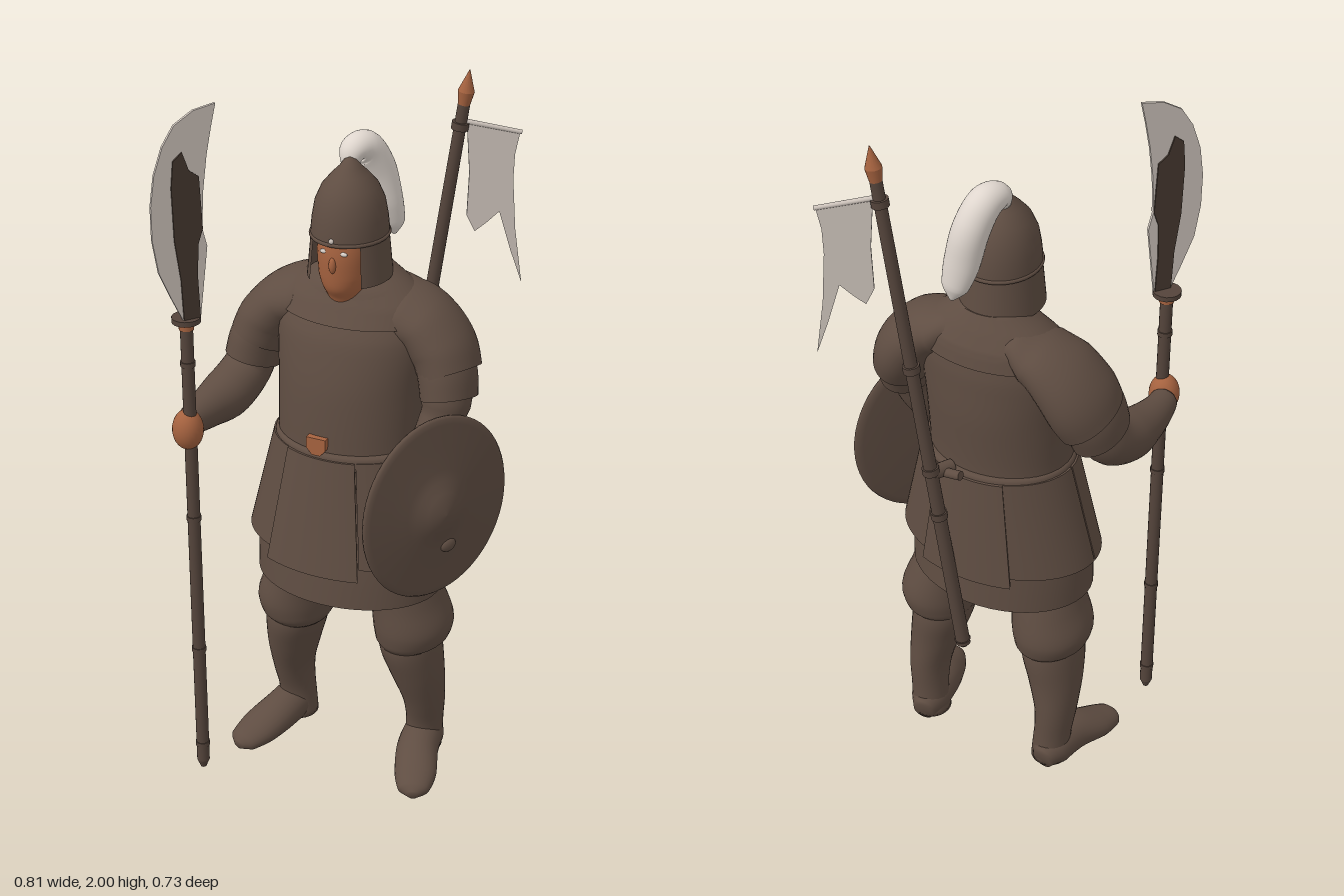
import * as THREE from 'three';
import { toCreasedNormals } from 'three/addons/utils/BufferGeometryUtils.js';

const mat = (name, color) => Object.assign(new THREE.MeshStandardMaterial({ color }), { name });
const V = (x, y, z) => new THREE.Vector3(x, y, z);

export function createModel() {
  const armour = mat('brown armour', 0x5f4d42);
  const wood = mat('dark wood', 0x54443b);
  const darkSteel = mat('dark blade core', 0x45382f);
  const skin = mat('copper skin', 0xa5623f);
  const pale = mat('pale steel', 0xccc2ba);
  const feather = mat('feather', 0xdfd6ce);
  const model = new THREE.Group();

  const add = (name, geo, material, parent = model) => {
    const m = new THREE.Mesh(geo, material);
    m.name = name;
    parent.add(m);
    return m;
  };

  // Closed body through elliptical sections [x, y, z, ru, rv]
  function loft(rows, { flat = false, steps = 5, n = 32, crease = 0 } = {}) {
    const mid = new THREE.CatmullRomCurve3(rows.map(r => V(r[0], r[1], r[2])));
    const rad = new THREE.CatmullRomCurve3(rows.map(r => V(r[3], r[4] ?? r[3], 0)));
    const count = (rows.length - 1) * steps;
    const pos = [], idx = [];
    for (let i = 0; i <= count; i++) {
      const t = i / count, c = mid.getPoint(t), r = rad.getPoint(t);
      const T = flat ? V(0, 1, 0) : mid.getTangent(t);
      const U = V(1, 0, 0).addScaledVector(T, -T.x).normalize();
      const W = T.clone().cross(U);
      for (let j = 0; j < n; j++) {
        const a = j / n * Math.PI * 2;
        const p = c.clone().addScaledVector(U, Math.cos(a) * r.x).addScaledVector(W, Math.sin(a) * r.y);
        pos.push(p.x, Math.max(0, p.y), p.z);
        if (i < count) {
          const k = (j + 1) % n, A = i * n + j, B = i * n + k;
          idx.push(A, B, B + n, A, B + n, A + n);
        }
      }
    }
    const first = rows[0], last = rows[rows.length - 1], s = pos.length / 3;
    pos.push(first[0], first[1], first[2], last[0], last[1], last[2]);
    for (let j = 0; j < n; j++) {
      const k = (j + 1) % n;
      idx.push(s, k, j, s + 1, count * n + j, count * n + k);
    }
    const g = new THREE.BufferGeometry();
    g.setAttribute('position', new THREE.Float32BufferAttribute(pos, 3));
    g.setIndex(idx);
    g.computeVertexNormals();
    return crease ? toCreasedNormals(g, crease) : g;
  }

  const rod = (name, a, b, r0, r1, material) => {
    const m = add(name, new THREE.CylinderGeometry(r1, r0, a.distanceTo(b), 16), material);
    m.position.copy(a).lerp(b, 0.5);
    m.quaternion.setFromUnitVectors(V(0, 1, 0), b.clone().sub(a).normalize());
  };
  const ball = (name, x, y, z, rx, ry, rz, material, parent) => {
    const m = add(name, new THREE.SphereGeometry(1, 24, 16), material, parent);
    m.position.set(x, y, z);
    m.scale.set(rx, ry, rz);
  };
  const lathe = (pts, n = 40) => new THREE.LatheGeometry(pts.map(p => new THREE.Vector2(...p)), n);
  const plate = (pts, t) => {
    const s = new THREE.Shape(pts.map(p => new THREE.Vector2(...p)));
    return new THREE.ExtrudeGeometry(s, { depth: t, bevelEnabled: false }).translate(0, 0, -t / 2);
  };

  // Torso, shoulder mantle and belt
  add('torso', loft([
    [-.01, .95, -.035, .215, .175], [-.01, 1.05, -.035, .2, .165], [-.01, 1.2, -.045, .203, .165],
    [-.01, 1.34, -.06, .213, .15], [-.01, 1.42, -.075, .195, .123], [-.01, 1.47, -.078, .145, .095],
    [-.01, 1.5, -.08, .09, .06]], { flat: true, n: 48 }), armour);
  add('mantle', loft([
    [-.01, 1.385, -.07, .215, .144], [-.01, 1.43, -.08, .2, .125], [-.01, 1.475, -.086, .145, .096],
    [-.01, 1.515, -.095, .085, .062]], { flat: true, n: 48, crease: .9 }), armour);
  add('belt', loft([
    [-.005, 1.0, -.035, .211, .174], [-.005, 1.01, -.035, .215, .178],
    [-.005, 1.035, -.035, .213, .177], [-.005, 1.045, -.035, .203, .168]], { flat: true, n: 48, steps: 2 }), armour);
  add('beltBuckle', plate([[-.028, .024], [.028, .024], [.028, -.008], [.012, -.026], [-.012, -.026], [-.028, -.008]],
    .024), skin).position.set(-.027, 1.064, .132);

  // Skirt with overlapping curved panels
  add('underSkirt', loft([
    [-.005, .6, -.02, .266, .198], [-.005, .72, -.022, .264, .19], [-.005, .85, -.028, .247, .178],
    [-.005, 1.02, -.035, .2, .16]], { flat: true, steps: 2, n: 48, crease: .8 }), armour);
  function skirtPanel(name, centre, width, y0, y1, off) {
    const g = new THREE.BoxGeometry(1, 1, 1, 16, 6, 1), p = g.attributes.position;
    for (let i = 0; i < p.count; i++) {
      const a = centre + p.getX(i) * width, v = p.getY(i) + .5, y = y0 + (y1 - y0) * v;
      const k = (1.03 - y) / .31, o = off * (.4 + .6 * (1 - v)) + p.getZ(i) * .02;
      p.setXYZ(i, -.005 + Math.sin(a) * (.205 + .068 * k + o), y,
        -.035 + .012 * k + Math.cos(a) * (.165 + .025 * k + o));
    }
    g.computeVertexNormals();
    add(name, g, armour);
  }
  skirtPanel('frontApron', -.08, .95, .7, 1.03, .02);
  skirtPanel('backApron', Math.PI, .92, .71, 1.03, .024);
  for (const s of [-1, 1]) {
    skirtPanel('frontSkirtPanel', s * .99, 1.16, .73, 1.03, .009);
    skirtPanel('backSkirtPanel', s * 2.16, 1.14, .73, 1.03, .009);
  }

  // Legs, boots and layered sleeves
  for (const s of [-1, 1]) {
    const side = s > 0 ? 'left' : 'right';
    const at = (rows, dx) => rows.map(([x, ...r]) => [s * x + dx, ...r]);
    add(side + 'Trouser', loft(at([
      [.17, .405, -.05, .08, .1], [.178, .43, -.05, .101, .121], [.18, .48, -.05, .11, .13],
      [.163, .56, -.045, .1, .122], [.13, .67, -.03, .095, .108]], -.002), { flat: true }), armour);
    add(side + 'Boot', loft(at([
      [.2, .02, -.1, .055, .058], [.205, .1, -.1, .053, .058], [.208, .2, -.085, .058, .074],
      [.195, .3, -.065, .074, .092], [.178, .4, -.052, .085, .108], [.175, .46, -.05, .08, .1]], -.008),
      { flat: true }), armour);
    add(side + 'Foot', loft(at([
      [.2, .04, -.16, .03, .035], [.206, .055, -.11, .057, .06], [.222, .05, -.02, .06, .055],
      [.252, .03, .06, .06, .042], [.272, .018, .12, .044, .028], [.278, .012, .14, .014, .012]], -.012),
      { n: 24 }), armour);
    add(side + 'ShoulderGuard', loft(at([
      [.07, 1.41, -.085, .06, .1], [.14, 1.4, -.088, .07, .113], [.2, 1.37, -.09, .078, .118],
      [.25, 1.31, -.084, .084, .12], [.278, 1.25, -.068, .081, .112]], -.014), { crease: .9 }), armour);
    add(side + 'Sleeve', loft(at([
      [.24, 1.32, -.08, .07, .1], [.275, 1.255, -.062, .075, .104], [.29, 1.19, -.044, .073, .097]], -.018),
      { crease: .9 }), armour);
  }
  add('rightArm', loft([
    [-.29, 1.25, -.06, .06], [-.32, 1.16, -.03, .068], [-.335, 1.12, .05, .07], [-.348, 1.11, .15, .054],
    [-.35, 1.11, .22, .042], [-.346, 1.11, .252, .038]]), armour);
  add('leftArm', loft([
    [.268, 1.26, -.05, .06], [.262, 1.15, -.035, .06], [.24, 1.06, .005, .056], [.21, .985, .065, .046],
    [.182, .94, .118, .034]]), armour);
  ball('rightHand', -.333, 1.113, .281, .042, .057, .042, skin);
  ball('leftHand', .186, .915, .108, .028, .032, .028, skin);

  // Head and helmet
  add('head', loft([
    [-.013, 1.4, -.03, .045, .05], [-.013, 1.45, -.022, .051, .062], [-.013, 1.48, -.012, .058, .072],
    [-.013, 1.515, -.01, .068, .077], [-.013, 1.58, -.01, .072, .079], [-.013, 1.64, -.02, .072, .078]],
    { flat: true }), skin);
  ball('nose', -.013, 1.555, .068, .01, .022, .01, skin);
  for (const s of [-1, 1]) ball('eye', -.013 + s * .028, 1.588, .061, .011, .006, .004, feather);
  const helmet = new THREE.Group();
  helmet.name = 'helmet';
  helmet.position.set(-.013, 0, -.038);
  model.add(helmet);
  const metal = armour.clone();
  metal.name = 'brown open armour';
  metal.side = THREE.DoubleSide;
  add('dome', lathe([[.101, 1.608], [.1, 1.63], [.097, 1.66], [.09, 1.7], [.073, 1.74], [.048, 1.77],
    [.028, 1.79], [.015, 1.808], [0, 1.815]]), metal, helmet).scale.z = 1.1;
  const brim = add('brim', new THREE.TorusGeometry(.099, .006, 8, 40), armour, helmet);
  brim.rotation.x = Math.PI / 2;
  brim.position.y = 1.612;
  brim.scale.y = 1.1;
  const guard = add('neckGuard',
    new THREE.CylinderGeometry(.1, .111, .12, 40, 3, true, .72, Math.PI * 2 - 1.44), metal, helmet);
  guard.position.y = 1.557;
  guard.scale.z = 1.07;
  ball('helmetStud', -.013, 1.624, .075, .007, .007, .005, pale);
  add('plume', loft([
    [-.022, 1.785, -.05, .022, .02], [-.02, 1.818, -.072, .038, .035], [-.008, 1.815, -.113, .045, .046],
    [.01, 1.755, -.15, .048, .049], [.028, 1.66, -.168, .047, .041], [.04, 1.595, -.182, .036, .028],
    [.045, 1.56, -.19, .006, .006]]), feather);

  // Polearm
  rod('polearmShaft', V(-.325, .05, .282), V(-.325, 1.44, .282), .018, .017, wood);
  rod('polearmFoot', V(-.325, .025, .282), V(-.325, .05, .282), .008, .018, wood);
  for (const y of [.1, .42, .84, 1.3]) rod('shaftBand', V(-.325, y, .282), V(-.325, y + .014, .282), .02, .02, wood);
  rod('copperCollar', V(-.325, 1.405, .282), V(-.325, 1.425, .282), .02, .02, skin);
  rod('bladeGuard', V(-.325, 1.426, .282), V(-.325, 1.44, .282), .038, .038, wood);
  const glaive = new THREE.Group();
  glaive.name = 'glaiveBlade';
  glaive.position.set(-.313, 0, .288);
  glaive.rotation.y = -2.214;
  model.add(glaive);
  add('blade', plate([[.018, 1.44], [.045, 1.5], [.078, 1.58], [.092, 1.67], [.092, 1.76], [.08, 1.84], [.055, 1.91],
    [.022, 1.96], [-.03, 1.99], [-.09, 2], [-.076, 1.94], [-.062, 1.87], [-.05, 1.78], [-.044, 1.68],
    [-.056, 1.63], [-.046, 1.55], [-.032, 1.44]], .008), pale, glaive);
  add('bladeCore', plate([[.016, 1.44], [.02, 1.55], [.034, 1.66], [.037, 1.8], [.03, 1.87], [.005, 1.89],
    [-.012, 1.84], [-.038, 1.82], [-.044, 1.68], [-.03, 1.64], [-.026, 1.55], [-.03, 1.44]], .016), darkSteel, glaive);

  // Banner on the back
  const foot = V(-.007, .475, -.247), head = V(.193, 1.91, -.286);
  const along = t => foot.clone().lerp(head, t);
  rod('bannerPole', foot, head, .02, .016, wood);
  rod('poleFoot', along(-.006), along(.01), .012, .023, wood);
  for (const t of [.3, .4, .62, .95]) rod('poleBand', along(t), along(t + .014), .023, .023, wood);
  rod('poleBracket', V(.05, 1.04, -.2), along(.4), .02, .02, armour);
  rod('poleStrap', V(0, 1.05, -.235), V(.11, 1.03, -.228), .013, .013, armour);
  rod('spearSocket', along(.985), along(1.022), .013, .022, skin);
  rod('spearTip', along(1.022), along(1.062), .022, .001, skin);
  rod('crossbar', V(.186, 1.862, -.284), V(.327, 1.828, -.358), .007, .006, pale);
  const flag = add('banner', plate([[0, 1.86], [.14, 1.83], [.128, 1.77], [.126, 1.7], [.136, 1.56], [.158, 1.405],
    [.125, 1.5], [.092, 1.61], [.06, 1.58], [.028, 1.555], [.006, 1.6], [.01, 1.72]], .007), pale);
  flag.position.set(.2, 0, -.29);
  flag.rotation.y = .49;

  // Oval shield with a broad boss and one stud
  const shield = new THREE.Group();
  shield.name = 'shield';
  shield.position.set(.285, .917, .066);
  shield.rotation.y = 1.057;
  model.add(shield);
  const disc = lathe([[0, -.018], [.15, -.016], [.24, -.012], [.263, -.008], [.266, 0], [.26, .007], [.245, .008],
    [.18, .015], [.12, .021], [.09, .027], [.06, .04], [.03, .05], [0, .053]], 56).rotateX(Math.PI / 2);
  add('shieldDisc', disc, armour, shield).scale.x = .88;
  ball('shieldStud', .03, -.115, .02, .025, .02, .012, armour, shield);
  return model;
}
